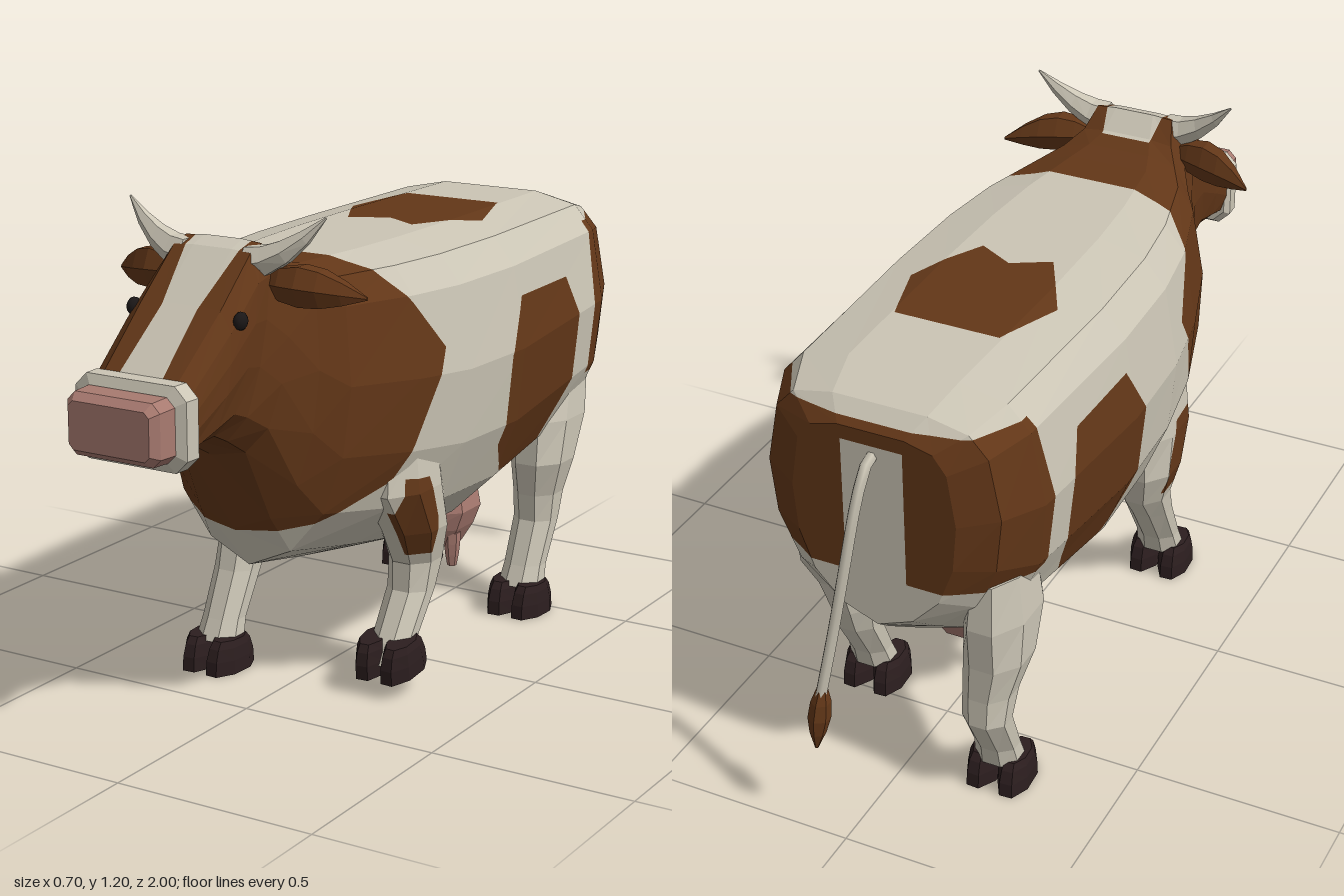
import * as THREE from 'three';

const mat = (name, color) => Object.assign(new THREE.MeshStandardMaterial({ color }), { name });
const V = (x, y, z) => new THREE.Vector3(x, y, z);

// Faceted geometry from a flat list of triangle corners
function facets(points) {
  const g = new THREE.BufferGeometry().setFromPoints(points);
  g.computeVertexNormals();
  return g;
}

// Skin closed rings of equal length, cap both ends, and turn faces outward
function loft(rings) {
  const tris = [], n = rings[0].length;
  for (let r = 0; r < rings.length - 1; r++) {
    for (let i = 0; i < n; i++) {
      const j = (i + 1) % n, [a, b, c, d] = [rings[r][i], rings[r][j], rings[r + 1][j], rings[r + 1][i]];
      tris.push([a, b, c], [a, c, d]);
    }
  }
  const cap = (ring, flip) => {
    const mid = V(0, 0, 0);
    ring.forEach(p => mid.addScaledVector(p, 1 / n));
    for (let i = 0; i < n; i++) {
      const a = ring[i], b = ring[(i + 1) % n];
      tris.push(flip ? [mid, b, a] : [mid, a, b]);
    }
  };
  cap(rings[0], true);
  cap(rings[rings.length - 1], false);
  let volume = 0;
  for (const [a, b, c] of tris) volume += a.dot(V(0, 0, 0).crossVectors(b, c));
  if (volume < 0) tris.forEach(t => t.reverse());
  return facets(tris.flat());
}

// Horizontal elliptical ring
function ring(x, y, z, rx, rz, n = 8) {
  return Array.from({ length: n }, (_, i) => {
    const a = (i + 0.5) / n * Math.PI * 2;
    return V(x + rx * Math.cos(a), y, z + rz * Math.sin(a));
  });
}

// Loft whose rings come from a rule of t = 0..1
const sweep = (steps, rule) => loft(Array.from({ length: steps + 1 }, (_, i) => rule(i / steps)));

// Upright octagonal ring with cut corners, facing z
function cutBox(w, h, z, c) {
  const corners = [[w - c, -h], [w, c - h], [w, h - c], [w - c, h]];
  return [...corners, ...corners.map(([x, y]) => [-x, -y])].map(([x, y]) => V(x, y + .794, z));
}

// Convex prism seen along one axis, as a list of half-space tests
function prism(a, b, pts, extra = []) {
  const mid = [0, 1].map(k => pts.reduce((s, p) => s + p[k], 0) / pts.length);
  const planes = pts.map((p, i) => {
    const q = pts[(i + 1) % pts.length];
    const f = (u, v) => (q[0] - p[0]) * (v - p[1]) - (q[1] - p[1]) * (u - p[0]);
    const sign = Math.sign(f(mid[0], mid[1]));
    return v => sign * f(v[a], v[b]);
  });
  return [...planes, ...extra];
}

// Cut one polygon by a half-space into inner and outer pieces
function split(poly, f) {
  const s = poly.map(f), inner = [], outer = [];
  if (!s.some(d => d > 1e-7)) return [[], poly];
  if (!s.some(d => d < -1e-7)) return [poly, []];
  poly.forEach((p, i) => {
    const j = (i + 1) % poly.length;
    if (s[i] >= 0) inner.push(p);
    if (s[i] <= 0) outer.push(p);
    if (s[i] * s[j] < 0) {
      const m = p.clone().lerp(poly[j], s[i] / (s[i] - s[j]));
      inner.push(m);
      outer.push(m);
    }
  });
  return [inner, outer];
}

// Colour regions of a faceted geometry; earlier regions win
function paint(geo, regions) {
  const pos = geo.attributes.position, done = [[], []];
  let rest = [];
  for (let i = 0; i < pos.count; i += 3) {
    rest.push([0, 1, 2].map(k => V(0, 0, 0).fromBufferAttribute(pos, i + k)));
  }
  for (const [index, planes] of regions) {
    const keep = [];
    for (let inside of rest) {
      for (const f of planes) {
        const [inn, out] = split(inside, f);
        if (out.length) keep.push(out);
        inside = inn;
        if (!inside.length) break;
      }
      if (inside.length) done[index].push(inside);
    }
    rest = keep;
  }
  done[0].push(...rest);
  const fan = poly => poly.slice(2).flatMap((p, i) => [poly[0], poly[i + 1], p]);
  const lists = done.map(polys => polys.flatMap(fan));
  const out = facets(lists.flat());
  out.addGroup(0, lists[0].length, 0);
  out.addGroup(lists[0].length, lists[1].length, 1);
  return out;
}

// Half cross-sections, top centre to bottom centre: trunk shape and boxier head shape
const TRUNK = [[0, 0], [.4, 0], [.74, .035], [.9, .12], [1, .37], [.95, .6], [.77, .79], [.44, .93], [0, 1]];
const HEAD = [[0, 0], [.35, 0], [.7, .01], [.93, .16], [1, .37], [1, .6], [.9, .85], [.6, .98], [0, 1]];

function section([zTop, zBot, yTop, yBot, w, k]) {
  const half = TRUNK.map(([x, t], i) => {
    const fx = x + (HEAD[i][0] - x) * k, ft = t + (HEAD[i][1] - t) * k;
    return V(fx * w, yTop + (yBot - yTop) * ft, zTop + (zBot - zTop) * ft);
  });
  return [...half, ...half.slice(1, -1).reverse().map(p => V(-p.x, p.y, p.z))];
}

export function createModel() {
  const cow = new THREE.Group();
  cow.name = 'cow';
  const cream = mat('cream', 0xcbc5b5), brown = mat('brown', 0x633718), pink = mat('pink', 0xa87a70);
  const hoofDark = mat('hoofDark', 0x2c1e1f), eyeBlack = mat('eyeBlack', 0x1b1717);
  const add = (name, geo, material) => {
    const m = new THREE.Mesh(geo, material);
    m.name = name;
    cow.add(m);
    return m;
  };

  // Trunk, then neck and head: zTop, zBottom, yTop, yBottom, half width, head blend
  const trunk = [[-.815, -.815, .985, .48, .2, 0], [-.77, -.765, 1.03, .44, .285, 0], [-.66, -.64, 1.06, .35, .335, 0],
    [-.2, -.2, 1.06, .265, .352, 0], [.05, .05, 1.06, .27, .343, 0], [.22, .25, 1.06, .305, .315, 0],
    [.41, .48, 1.06, .35, .25, 0]];
  const head = [[.47, .54, 1.07, .455, .205, .2], [.52, .625, 1.09, .65, .165, .6], [.565, .69, 1.135, .7, .143, 1],
    [.61, .74, 1.12, .725, .145, 1], [.73, .8, 1.015, .725, .148, 1], [.885, .885, .885, .71, .138, 1]];

  // Cream blaze and tail strip
  const ahead = [v => v.z - .51];
  const creamMarks = [
    prism('x', 'y', [[-.08, 1.16], [.08, 1.16], [.047, 1.01], [-.047, 1.01]], ahead),
    prism('x', 'y', [[-.047, 1.01], [.047, 1.01], [.06, .84], [-.06, .84]], ahead),
    prism('x', 'y', [[-.075, .3], [.075, .3], [.075, .95], [-.075, .95]], [v => -.7 - v.z]),
  ];
  // Brown forequarters, flank spots, rump and back spot
  const topSpot = s => prism('x', 'z',
    [[0, -.46], [s * .13, -.46], [s * .185, -.28], [s * .09, -.1], [0, -.15]], [v => v.y - .95]);
  const forequarters = prism('z', 'y',
    [[1.2, .4], [.6, .43], [.52, .455], [.28, .54], [.13, .84], [.13, .91], [.31, 1.06], [.5, 1.3], [1.2, 1.3]]);
  const flank = prism('z', 'y',
    [[-.22, .89], [-.47, .89], [-.515, .79], [-.515, .615], [-.43, .45], [-.22, .44], [-.145, .53], [-.145, .76]]);
  const rump = prism('z', 'y', [[-.635, 1], [-1, 1], [-1, .61], [-.61, .61], [-.61, .8]]);
  const brownMarks = [forequarters, flank, rump, topSpot(1), topSpot(-1)];
  add('body', paint(loft([...trunk, ...head].map(section)),
    [...creamMarks.map(p => [0, p]), ...brownMarks.map(p => [1, p])]), [cream, brown]);

  // Muzzle band and nose
  add('muzzle', loft([cutBox(.135, .085, .865, .03), cutBox(.147, .095, .88, .03),
    cutBox(.145, .095, .92, .03), cutBox(.12, .073, .93, .02)]), cream);
  add('nose', loft([cutBox(.122, .072, .925, .02), cutBox(.12, .07, .98, .02), cutBox(.105, .054, 1, .012)]), pink);

  // Legs share one profile of height and radii; each follows its own line of z
  const legProfile = [[.62, .065, .12], [.5, .08, .135], [.39, .078, .1], [.3, .063, .072],
    [.23, .058, .055], [.12, .055, .046], [.07, .06, .052]];
  const legSpot = prism('z', 'y', [[.25, .54], [.17, .53], [.13, .42], [.13, .33], [.2, .33], [.27, .4]],
    [v => Math.abs(v.x) - .24]);
  const addLeg = (name, s, zLine, hoofZ, lift = 0) => {
    const x = s * .22;
    const leg = loft(legProfile.map(([y, rx, rz], i) => ring(x + (i < 3 ? s * .01 : 0), y, zLine[i], rx, rz)));
    add(name, paint(leg, [[1, legSpot]]), [cream, brown]);
    // Cloven hoof: two toes
    for (const side of [-1, 1]) {
      const toe = loft([[0, .041, .082], [.035, .04, .079], [.065, .036, .068], [.082, .03, .053]]
        .map(([y, rx, rz]) => ring(side * .038, y, 0, rx, rz)));
      const hoof = add(name + 'Hoof', toe, hoofDark);
      hoof.position.set(x, lift, hoofZ);
      hoof.rotation.set(lift * 3, side * -.06, 0);
    }
  };
  addLeg('frontLeftLeg', 1, [.17, .17, .125, .095, .115, .195, .21], .21, .05);
  addLeg('frontRightLeg', -1, [.2, .19, .165, .17, .205, .265, .285], .298);
  addLeg('rearLeftLeg', 1, [-.62, -.58, -.54, -.54, -.53, -.475, -.455], -.443);
  addLeg('rearRightLeg', -1, [-.65, -.65, -.675, -.7, -.72, -.67, -.655], -.645);

  // Horns, ears, eyes and teats on each side
  for (const s of [-1, 1]) {
    const sideRing = (x, y, z, ry, rz, lean) => ring(0, 0, 0, ry, rz, 6)
      .map(p => V(s * (x - p.x * lean), y + p.x, z + p.z));
    add('horn', sweep(4, t => {
      const r = .002 + .04 * (1 - t ** 1.4);
      return sideRing(.08 + .18 * t, 1.09 + .11 * t ** 1.8, .585 - .03 * t * t, r, r, .8 * t);
    }), cream);
    add('ear', sweep(5, t => {
      const r = .004 + .048 * Math.sin(Math.PI * (.12 + .88 * t));
      return sideRing(.11 + .22 * t, 1.045 + .01 * Math.sin(Math.PI * t) - .025 * t, .565 - .065 * t * t, r, r * .8, 0);
    }), brown);
    const eye = new THREE.IcosahedronGeometry(.021, 1);
    eye.scale(.7, 1, 1);
    add('eye', eye, eyeBlack).position.set(s * .141, .99, .71);
    add('teat', sweep(3, t => ring(s * .085, .22 - .09 * t, -.325, .022 - .01 * t * t, .022 - .01 * t * t, 6)), pink);
  }

  // Udder
  add('udder', loft([[.36, .12, .11], [.28, .135, .125], [.23, .115, .115], [.18, .085, .085]]
    .map(([y, rx, rz]) => ring(0, y, -.355, rx, rz))), pink);

  // Tail and tuft
  const path = new THREE.CatmullRomCurve3([V(0, .93, -.79), V(0, .915, -.84), V(.005, .84, -.88),
    V(.02, .7, -.91), V(.045, .52, -.935), V(.068, .36, -.962)]);
  add('tail', new THREE.TubeGeometry(path, 12, .014, 6), cream);
  add('tailTuft', sweep(4, t => {
    const r = .004 + .023 * Math.sin(Math.PI * (.1 + .9 * t));
    return ring(.066 + .009 * t, .385 - .16 * t, -.957 - .023 * t, r, r, 6);
  }), brown);

  return cow;
}
